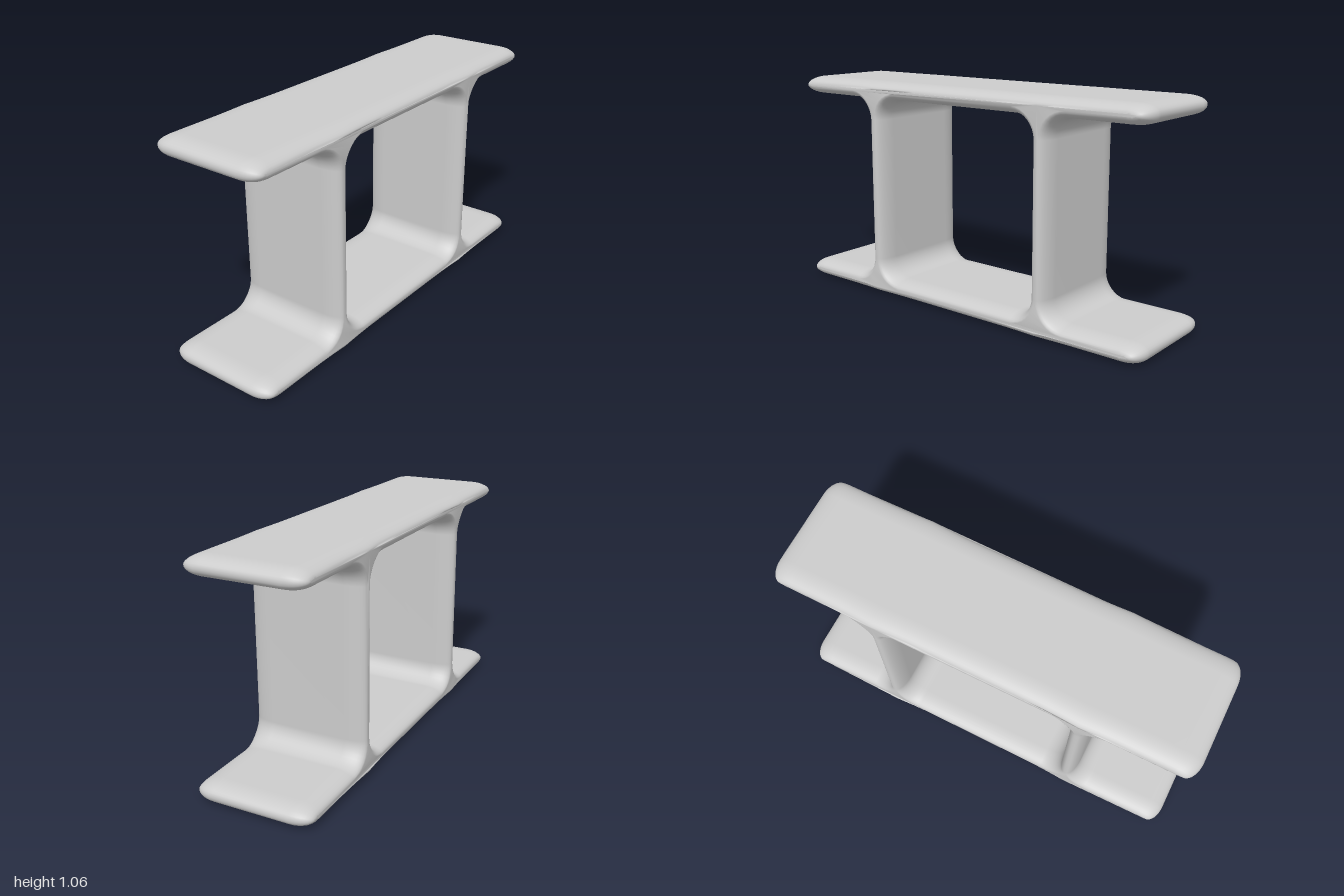
import * as THREE from 'three';

const H = 0.531;          // half of the full height
const SLAB = 0.088;       // thickness of the shelves
const POST_IN = 0.443, POST_OUT = 0.529; // inner and outer faces of the posts
const FILLET = 0.095;     // inside corner radius
const NOSE = 0.1;         // length of the rounded shelf ends
const EDGE = 0.095;       // depth of the rounded front and back edges
const DEPTH = 0.277;      // half depth

const arc = (cx, cy, r, a0, a1, n) => Array.from({ length: n + 1 }, (_, i) => {
  const a = a0 + (a1 - a0) * i / n;
  return [cx + r * Math.cos(a), cy + r * Math.sin(a)];
});

// Mirror the upper right quarter into a closed counter-clockwise loop
function mirrorLoop(q) {
  const flip = (sx, sy) => q.map(([x, y]) => [x * sx, y * sy]);
  return [...q, ...flip(-1, 1).reverse(), ...flip(-1, -1), ...flip(1, -1).reverse()];
}

// Outer outline, shrunk by d
function outerLoop(d) {
  const q = arc(POST_OUT + FILLET, H - SLAB - FILLET, FILLET + d, Math.PI, Math.PI / 2, 8);
  const rx = NOSE - 1.4 * d, ry = SLAB / 2 - d;
  const pw = v => Math.sign(v) * Math.pow(Math.abs(v), 0.88);
  for (let i = 0; i <= 16; i++) {
    const a = -Math.PI / 2 + Math.PI * i / 16;
    q.push([1 - NOSE + rx * pw(Math.cos(a)), H - SLAB / 2 + ry * pw(Math.sin(a))]);
  }
  for (const x of [0.75, 0.65, 0.57, 0.486, 0.4, 0.32, 0.22, 0.08]) q.push([x, H - d]);
  return mirrorLoop(q);
}

// Central opening, widened by d and running clockwise
function openingLoop(d) {
  const c = [POST_IN - FILLET, H - SLAB - FILLET];
  return mirrorLoop(arc(c[0], c[1], FILLET + d, 0, Math.PI / 2, 8)).reverse();
}

// Cross-sections from back to front, rounded at both faces
function sections() {
  const front = [], n = 8;
  for (let i = 0; i <= n; i++) {
    const a = Math.PI / 2 * i / n;
    front.push([0.038 * (1 - Math.cos(a)), DEPTH - EDGE + EDGE * Math.sin(a)]);
  }
  return [...front.map(([d, z]) => [d, -z]).reverse(), ...front];
}

// Slight swelling of the edge where posts meet shelves
function swell(x, y) {
  const u = (Math.abs(x) - 0.486) / 0.09, v = (Math.abs(y) - H + 0.05) / 0.09;
  return 1 + 0.028 * Math.exp(-u * u - v * v);
}

function frameGeometry() {
  const pos = [], index = [], secs = sections();
  const nOuter = outerLoop(0).length, nHole = openingLoop(0).length, n = nOuter + nHole;
  for (const [d, z] of secs) {
    for (const [x, y] of [...outerLoop(d), ...openingLoop(d)]) pos.push(x, y + H, z * swell(x, y));
  }
  // Walls between neighbouring sections
  for (let s = 0; s < secs.length - 1; s++) {
    for (const [start, count] of [[0, nOuter], [nOuter, nHole]]) {
      for (let i = 0; i < count; i++) {
        const a = s * n + start + i, b = s * n + start + (i + 1) % count;
        index.push(a, b, b + n, a, b + n, a + n);
      }
    }
  }
  // Narrow front and back faces
  const d = secs[0][0], vec = loop => loop.map(([x, y]) => new THREE.Vector2(x, y));
  const last = (secs.length - 1) * n;
  for (const [a, b, c] of THREE.ShapeUtils.triangulateShape(vec(outerLoop(d)), [vec(openingLoop(d))])) {
    index.push(last + a, last + b, last + c, c, b, a);
  }
  const geo = new THREE.BufferGeometry();
  geo.setAttribute('position', new THREE.Float32BufferAttribute(pos, 3));
  geo.setIndex(index);
  geo.computeVertexNormals();
  return geo;
}

export function createModel() {
  const grey = new THREE.MeshStandardMaterial({ color: 0xcccccc });
  grey.name = 'light grey';
  const group = new THREE.Group();
  group.name = 'shelfFrame';
  // Two shelves and two posts in one blended body
  const frame = new THREE.Mesh(frameGeometry(), grey);
  frame.name = 'shelvesAndPosts';
  group.add(frame);
  return group;
}
